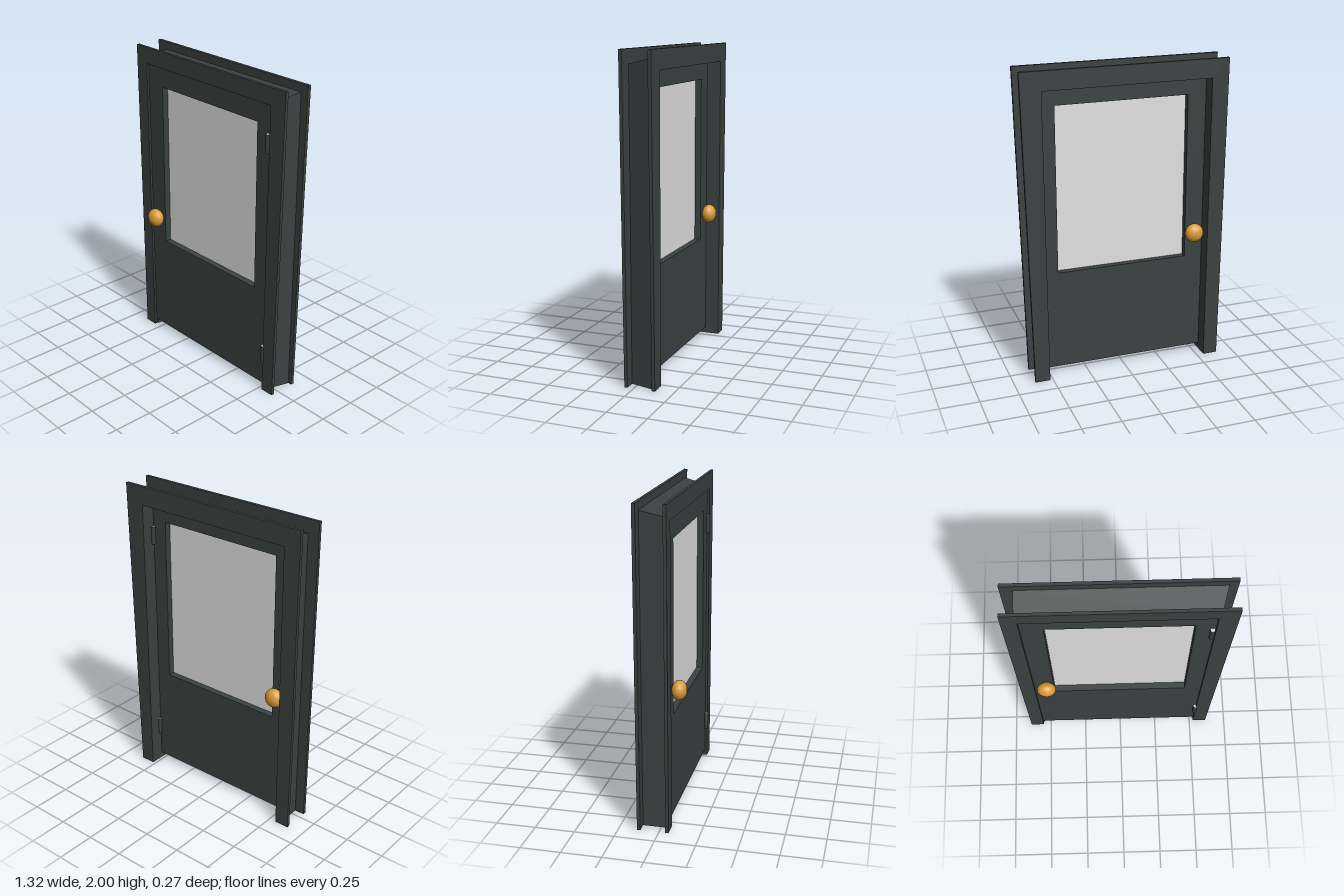
import * as THREE from 'three';

function paint(name, color) {
  const material = new THREE.MeshStandardMaterial({ color });
  material.name = name;
  return material;
}
const frameGrey = paint('dark grey paint', 0x3a4241);
const paleGrey = paint('pale grey glass', 0xe2e2e2);
const brass = paint('brass', 0xdb9c38);

// Slightly crooked doorway, from left foot over the head to right foot
const opening = [[-0.552, 0], [-0.565, 1.895], [0.542, 1.895], [0.525, 0]];
// The lining behind the leaf is a little narrower and forms the door stop
const stop = [[-0.546, 0], [-0.55, 1.88], [0.526, 1.88], [0.519, 0]];

function polygon(points) {
  return new THREE.Shape(points.map(([x, y]) => new THREE.Vector2(x, y)));
}

// Extrude a shape between two depths
function slab(shape, z0, z1) {
  const geometry = new THREE.ExtrudeGeometry(shape, { depth: z1 - z0, bevelEnabled: false });
  return geometry.translate(0, 0, z0);
}

// Arch open at the floor: outer outline, then back along the inner one
function arch(outer, inner) {
  return polygon([...outer, ...[...inner].reverse()]);
}

export function createModel() {
  const door = new THREE.Group();
  door.name = 'door';
  const add = (name, geometry, material) => {
    const mesh = new THREE.Mesh(geometry, material);
    mesh.name = name;
    door.add(mesh);
    return mesh;
  };

  // Wide trim boards on both faces of the wall
  const outline = [[-0.64, 0], [-0.66, 2], [0.658, 2], [0.615, 0]];
  add('frontTrim', slab(arch(outline, opening), 0.04, 0.06), frameGrey);
  add('backTrim', slab(arch(outline, stop), -0.137, -0.116), frameGrey);

  // Jamb lining between the trims, flaring toward the back
  const jamb = slab(arch([[-0.575, 0], [-0.585, 1.915], [0.56, 1.915], [0.545, 0]], stop), -0.116, 0.04);
  const p = jamb.attributes.position;
  for (let i = 0; i < p.count; i++) {
    if (p.getZ(i) > -0.1) continue;
    const head = p.getY(i) > 1.9;
    const rightFoot = p.getY(i) < 0.01 && p.getX(i) > 0.535;
    if (head) p.setY(i, 1.95);
    if ((head && p.getX(i) > 0) || rightFoot) p.setX(i, p.getX(i) + 0.045);
  }
  jamb.computeVertexNormals();
  add('jamb', jamb, frameGrey);

  // Door leaf filling the opening, with a window cut-out
  const leaf = polygon([[-0.552, 0.04], [0.525, 0.04], [0.542, 1.895], [-0.565, 1.895]]);
  leaf.holes.push(polygon([[-0.43, 0.693], [-0.43, 1.767], [0.425, 1.767], [0.425, 0.693]]));
  add('doorLeaf', slab(leaf, -0.045, 0.045), frameGrey);

  // Window pane
  const pane = new THREE.BoxGeometry(0.86, 1.08, 0.008).translate(-0.0025, 1.23, 0);
  add('windowPane', pane, paleGrey);

  // Knobs and hinge barrels, with pale pin ends, on both faces
  for (const [side, s] of [['front', 1], ['back', -1]]) {
    const knob = add(side + 'Knob', new THREE.SphereGeometry(1, 16, 12), brass);
    knob.scale.set(0.061, 0.061, 0.047);
    knob.position.set(-0.475, 0.865, s * 0.09);
    for (const [level, y] of [['Upper', 1.663], ['Lower', 0.263]]) {
      const barrel = new THREE.CylinderGeometry(0.015, 0.015, 0.115, 12);
      const hinge = add(side + level + 'Hinge', barrel, [frameGrey, paleGrey, paleGrey]);
      hinge.position.set(0.523, y, s * 0.053);
    }
  }
  return door;
}
